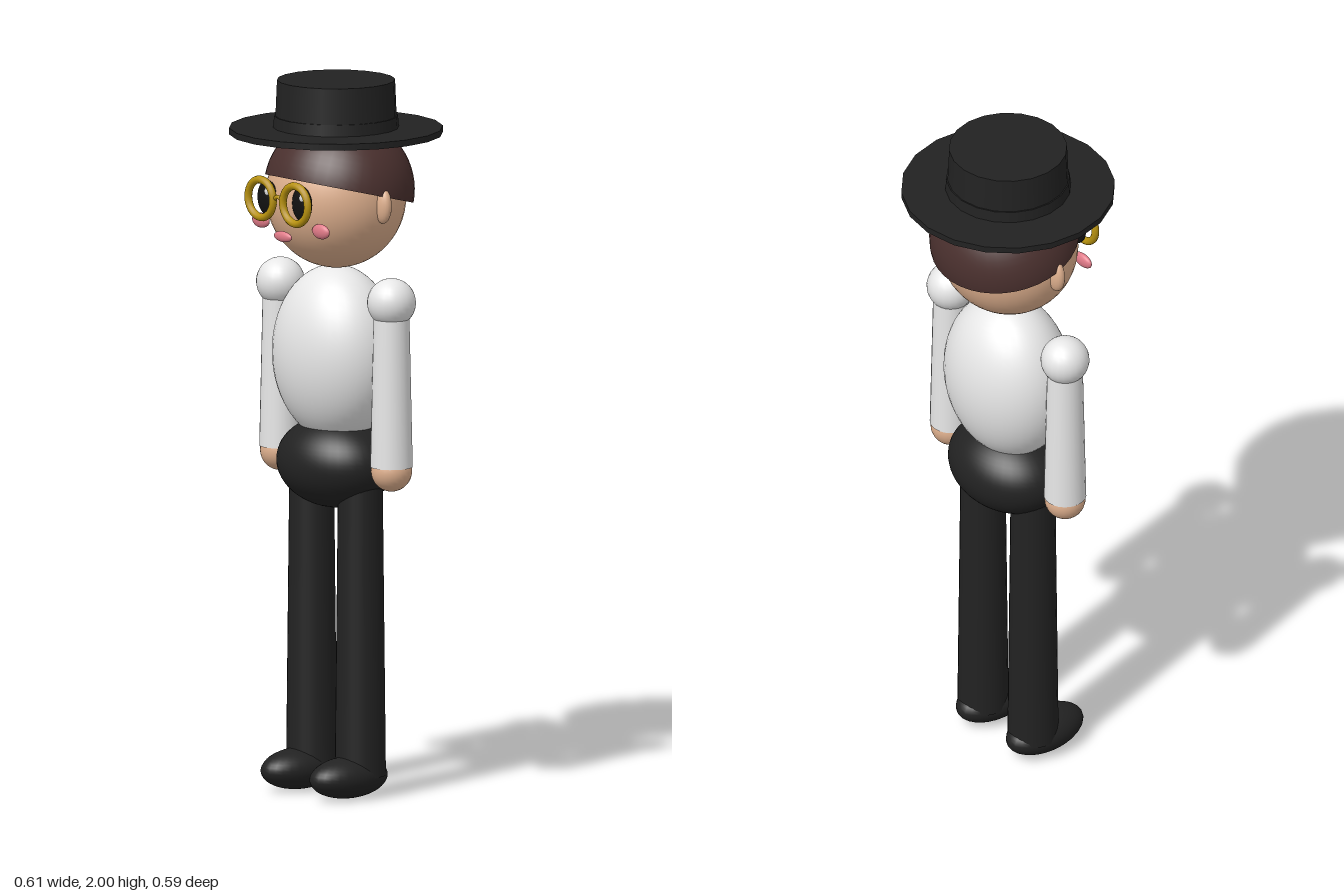
import * as THREE from 'three';

const mat = (name, color) => {
  const m = new THREE.MeshStandardMaterial({ color });
  m.name = name;
  return m;
};

export function createModel() {
  const model = new THREE.Group();
  model.name = 'figure';

  const black = mat('black cloth', 0x222222);
  const white = mat('white shirt', 0xececec);
  const skin = mat('skin', 0xdfb08e);
  const brown = mat('brown hair', 0x4a302e);
  brown.side = THREE.DoubleSide;
  const gold = mat('gold', 0xb8920f);
  const eyeBlack = mat('eye black', 0x111111);
  const pink = mat('pink', 0xe07a88);
  const highlight = mat('eye highlight', 0xffffff);

  const add = (name, geometry, material, x, y, z) => {
    const mesh = new THREE.Mesh(geometry, material);
    mesh.name = name;
    mesh.position.set(x, y, z);
    model.add(mesh);
    return mesh;
  };
  const ellipsoid = (name, material, pos, radii, seg = 32) => {
    const geo = new THREE.SphereGeometry(1, seg, Math.round(seg * 0.75)).scale(...radii);
    return add(name, geo, material, ...pos);
  };
  const column = (name, material, x, y0, y1, r0, r1) =>
    add(name, new THREE.CylinderGeometry(r1, r0, y1 - y0, 24), material, x, (y0 + y1) / 2, 0);

  // Body
  ellipsoid('torso', white, [0, 1.232, 0], [0.2, 0.248, 0.16], 40);
  ellipsoid('hips', black, [0, 0.928, 0], [0.187, 0.128, 0.148], 40);

  // Head and tilted cap of hair
  ellipsoid('head', skin, [0, 1.674, 0], [0.2, 0.2, 0.191], 40);
  const cap = new THREE.SphereGeometry(0.204, 40, 16, 0, Math.PI * 2, 0, Math.PI / 2);
  const hair = add('hair', cap.scale(1.06, 1, 1), brown, 0, 1.692, -0.012);
  hair.rotation.x = -0.25;

  // Hat: many-sided brim, tapered crown and a slim band
  add('hatBrim', new THREE.CylinderGeometry(0.297, 0.297, 0.018, 20), black, 0, 1.858, 0);
  add('hatCrown', new THREE.CylinderGeometry(0.164, 0.17, 0.14, 20), black, 0, 1.93, 0);
  add('hatBand', new THREE.CylinderGeometry(0.172, 0.175, 0.035, 20), black, 0, 1.882, 0);

  // Face centre: mouth and the bridge of the glasses
  ellipsoid('mouth', pink, [0, 1.579, 0.193], [0.037, 0.015, 0.01], 20);
  add('glassesBridge', new THREE.TorusGeometry(0.02, 0.006, 8, 16, Math.PI), gold, 0, 1.672, 0.211);

  // Mirrored parts
  for (const s of [1, -1]) {
    const side = s > 0 ? 'left' : 'right';

    ellipsoid(side + 'Ear', skin, [s * 0.2, 1.67, 0], [0.03, 0.05, 0.02], 20);
    ellipsoid(side + 'Eye', eyeBlack, [s * 0.074, 1.679, 0.186], [0.038, 0.05, 0.017], 24);
    ellipsoid(side + 'EyeHighlight', highlight, [s * 0.074 + 0.014, 1.699, 0.2], [0.009, 0.011, 0.005], 12);
    ellipsoid(side + 'Cheek', pink, [s * 0.128, 1.606, 0.164], [0.035, 0.021, 0.012], 20);
    add(side + 'GlassesRim', new THREE.TorusGeometry(0.053, 0.011, 12, 32), gold, s * 0.074, 1.679, 0.211);

    // Arm
    ellipsoid(side + 'Shoulder', white, [s * 0.237, 1.403, 0], [0.068, 0.068, 0.068], 24);
    column(side + 'Sleeve', white, s * 0.237, 0.942, 1.4, 0.059, 0.049);
    ellipsoid(side + 'Hand', skin, [s * 0.237, 0.93, 0], [0.057, 0.057, 0.057], 24);

    // Leg
    column(side + 'Leg', black, s * 0.104, 0.06, 0.9, 0.071, 0.062);
    ellipsoid(side + 'Shoe', black, [s * 0.104, 0.058, 0.043], [0.074, 0.058, 0.128], 28);
  }
  return model;
}
